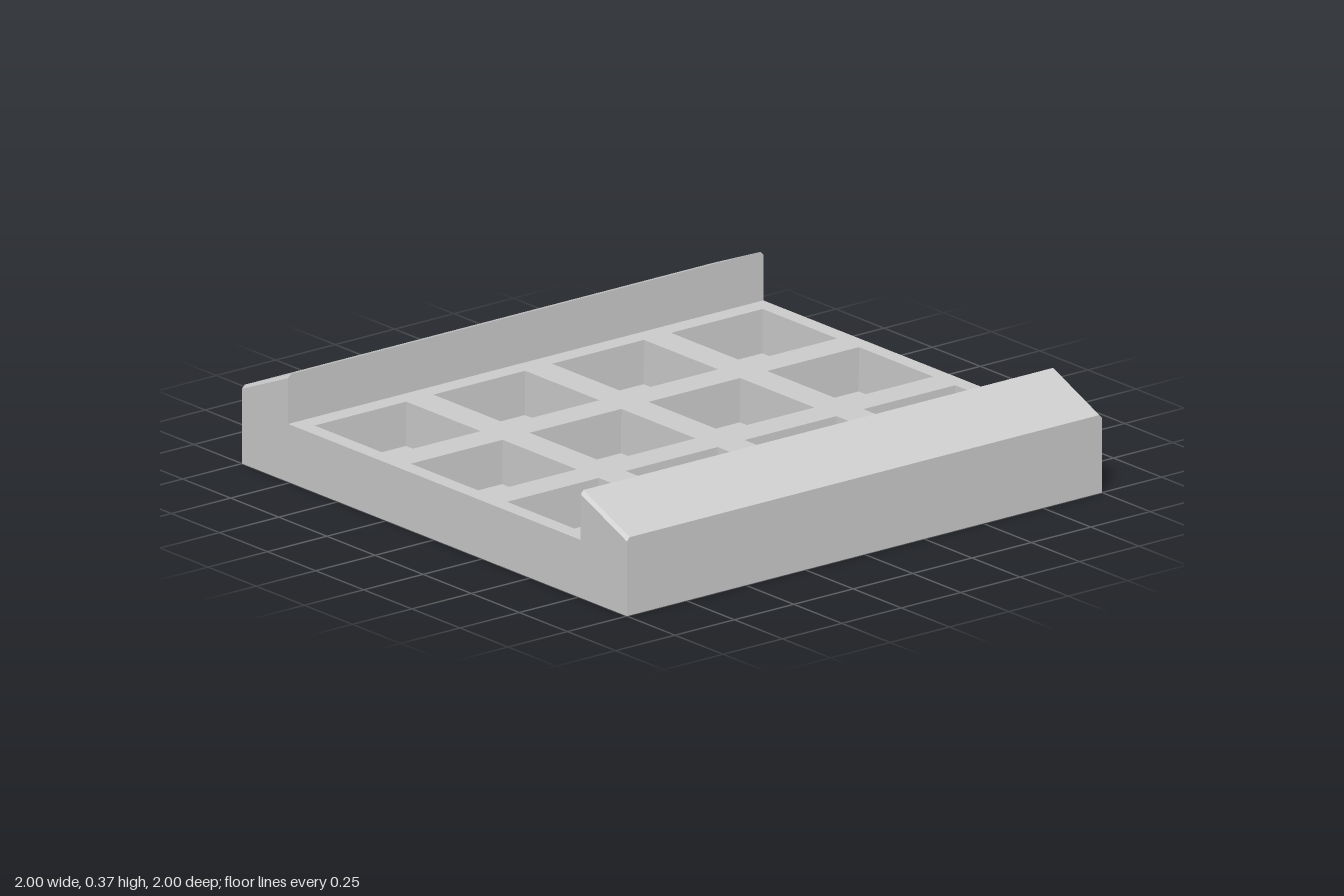
import * as THREE from 'three';

export function createModel() {
  const group = new THREE.Group();
  const material = new THREE.MeshStandardMaterial({
    color: 0xcccccc, flatShading: true, side: THREE.DoubleSide,
  });
  const add = (name, geometry, parent = group) => {
    const mesh = new THREE.Mesh(geometry, material);
    mesh.name = name;
    parent.add(mesh);
    return mesh;
  };

  const deck = 0.2, floorY = 0.05, lipZ = 0.76, lipTop = 0.37, wallTop = 0.27;
  const half = 0.193, draft = 0.006, bevel = 0.012;
  const columns = [-0.75, -0.25, 0.25, 0.75], rows = [-0.5, 0, 0.5];

  // Deck: a thin sheet with a square opening over each pocket
  const rectangle = (Type, x, z, w, d) => new Type([
    new THREE.Vector2(x - w, z - d), new THREE.Vector2(x + w, z - d),
    new THREE.Vector2(x + w, z + d), new THREE.Vector2(x - w, z + d),
  ]);
  const sheet = rectangle(THREE.Shape, 0, 0, 1, lipZ);
  for (const x of columns) for (const z of rows) sheet.holes.push(rectangle(THREE.Path, x, z, half, half));
  add('deck', new THREE.ShapeGeometry(sheet).rotateX(-Math.PI / 2).translate(0, deck, 0));

  // Pockets: slightly tapered open boxes hanging under the deck
  const depth = deck - floorY, r = Math.SQRT2;
  const sides = new THREE.CylinderGeometry(half * r, (half - draft) * r, depth, 4, 1, true)
    .rotateY(Math.PI / 4).translate(0, deck - depth / 2, 0);
  const base = new THREE.PlaneGeometry(2 * (half - draft), 2 * (half - draft))
    .rotateX(-Math.PI / 2).translate(0, floorY, 0);
  for (const x of columns) {
    for (const z of rows) {
      const pocket = new THREE.Group();
      pocket.name = 'pocket';
      pocket.position.set(x, 0, z);
      add('pocketWalls', sides, pocket);
      add('pocketFloor', base, pocket);
      group.add(pocket);
    }
  }

  // Front and back walls with sloping hollow lips, bevelled at the ends
  const section = (drop) => [
    [1, 0], [1, wallTop - drop], [lipZ, lipTop - drop], [lipZ, deck],
  ];
  const stations = [[-1, bevel], [-1 + bevel, 0], [1 - bevel, 0], [1, bevel]];
  const positions = [], indices = [];
  for (const [x, drop] of stations) for (const [z, y] of section(drop)) positions.push(x, y, z);
  for (let s = 0; s < 3; s++) {
    for (let i = 0; i < 3; i++) {
      const a = s * 4 + i, b = a + 4;
      indices.push(a, b, b + 1, a, b + 1, a + 1);
    }
  }
  const lip = new THREE.BufferGeometry();
  lip.setAttribute('position', new THREE.Float32BufferAttribute(positions, 3));
  lip.setIndex(indices);
  lip.computeVertexNormals();
  add('frontLip', lip);
  add('backLip', lip.clone().rotateY(Math.PI));

  // Side walls closing the profile at both ends, open underneath
  const outline = section(bevel);
  const mirrored = outline.map(([z, y]) => [-z, y]).reverse();
  const profile = new THREE.Shape([...outline, ...mirrored].map(([z, y]) => new THREE.Vector2(z, y)));
  const end = new THREE.ShapeGeometry(profile).rotateY(Math.PI / 2).translate(1, 0, 0);
  add('leftWall', end);
  add('rightWall', end.clone().rotateY(Math.PI));

  return group;
}
